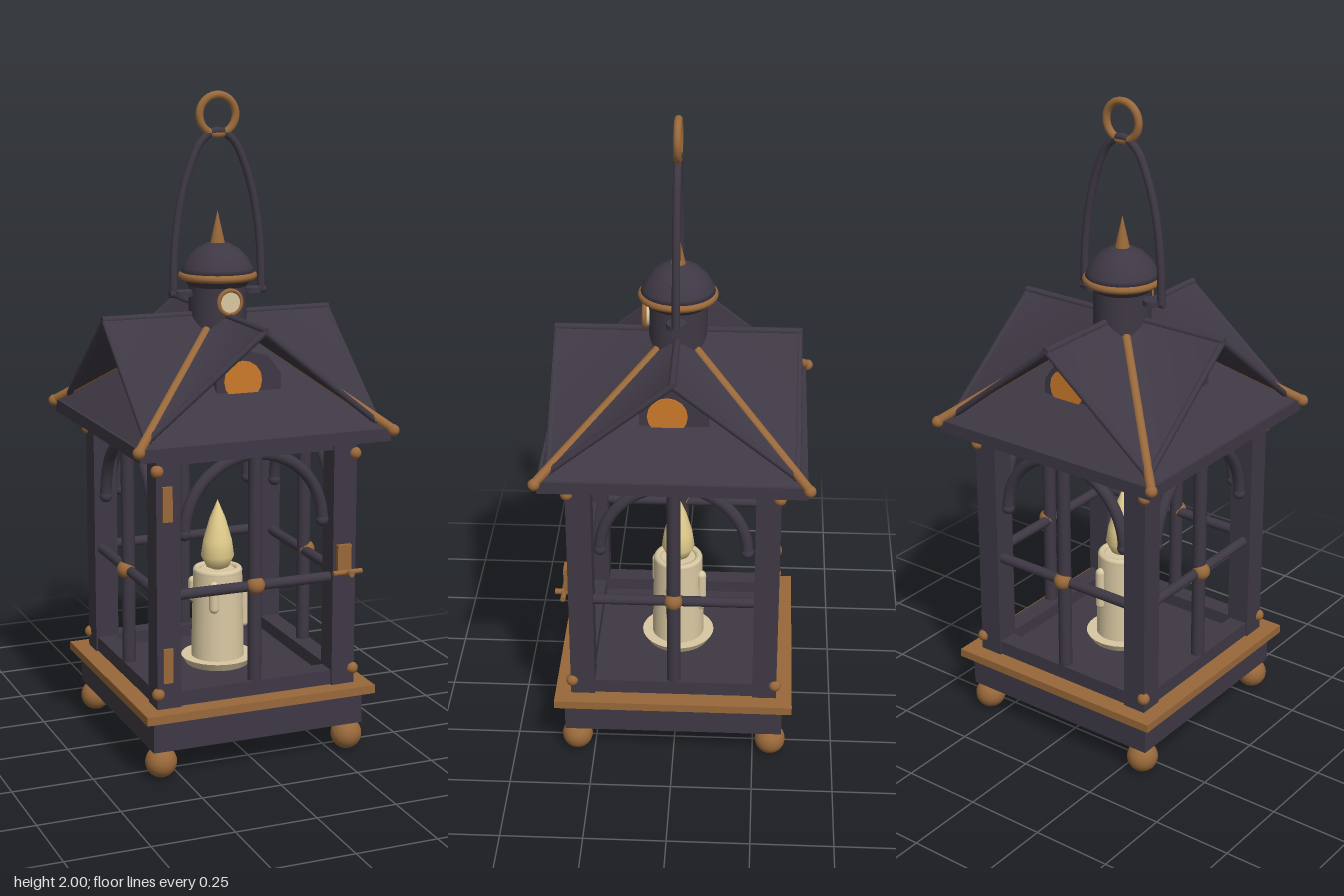
import * as THREE from 'three';

const mat = (name, color) => Object.assign(new THREE.MeshStandardMaterial({ color }), { name });
const V = (x, y, z) => new THREE.Vector3(x, y, z);

export function createModel() {
  const iron = mat('dark iron', 0x3e3844);
  const brass = mat('aged brass', 0x98683a);
  const wax = mat('candle wax', 0xd9c8a2);
  const flameMat = mat('flame', 0xe2cd8c);
  const glow = mat('amber glow', 0xcc7a2a);
  const model = new THREE.Group();

  const add = (name, geo, material, x = 0, y = 0, z = 0, parent = model) => {
    const m = new THREE.Mesh(geo, material);
    m.name = name;
    m.position.set(x, y, z);
    parent.add(m);
    return m;
  };
  const box = (w, h, d) => new THREE.BoxGeometry(w, h, d);
  const ball = r => new THREE.SphereGeometry(r, 20, 14);
  const cyl = (r1, r2, h, n = 32) => new THREE.CylinderGeometry(r1, r2, h, n);
  // round bar between two points
  const bar = (name, a, b, r, material, parent = model) => {
    const m = add(name, cyl(r, r, a.distanceTo(b), 12), material, 0, 0, 0, parent);
    m.position.copy(a).add(b).multiplyScalar(0.5);
    m.quaternion.setFromUnitVectors(V(0, 1, 0), b.clone().sub(a).normalize());
    return m;
  };

  // base and eave
  add('base', box(0.68, 0.1, 0.68), iron, 0, 0.14, 0);
  add('baseTrim', box(0.74, 0.026, 0.74), brass, 0, 0.203, 0);
  add('floor', box(0.62, 0.012, 0.62), iron, 0, 0.217, 0);
  add('eave', box(0.79, 0.038, 0.79), iron, 0, 1.004, 0);

  // hipped inner roof with flat faces
  const hip = new THREE.ConeGeometry(0.39 * Math.SQRT2, 0.32, 4).rotateY(Math.PI / 4).toNonIndexed();
  hip.computeVertexNormals();
  add('innerRoof', hip, iron, 0, 1.18, 0);

  // quarter of the crossed gable roof: upper skin and underside
  const peak = V(0, 1.34, 0), ridgeEnd = V(0, 1.34, 0.37), valleyEnd = V(0.37, 1.044, 0.37);
  const roofSkin = (drop, index) => {
    const g = new THREE.BufferGeometry();
    const pts = [peak, ridgeEnd, valleyEnd, V(0.37, 1.34, 0)].map(p => p.clone().setY(p.y - drop));
    g.setFromPoints(pts);
    g.setIndex(index);
    g.computeVertexNormals();
    return g;
  };
  const topSkin = roofSkin(0, [0, 1, 2, 0, 2, 3]);
  const underSkin = roofSkin(0.014, [0, 2, 1, 0, 3, 2]);

  // everything that repeats on the four sides and corners
  for (let i = 0; i < 4; i++) {
    const side = new THREE.Group();
    side.name = 'side' + (i + 1);
    side.rotation.y = i * Math.PI / 2;
    model.add(side);
    const put = (name, geo, material, x, y, z) => add(name, geo, material, x, y, z, side);

    // corner
    put('foot', ball(0.048), brass, 0.305, 0.048, 0.305);
    put('post', box(0.075, 0.77, 0.075), iron, 0.283, 0.6, 0.283);
    put('lowerStud', ball(0.019), brass, 0.316, 0.262, 0.316);
    put('upperStud', ball(0.019), brass, 0.316, 0.938, 0.316);

    // open window frame
    put('bottomRail', box(0.5, 0.045, 0.06), iron, 0, 0.24, 0.285);
    put('topRail', box(0.5, 0.035, 0.06), iron, 0, 0.97, 0.285);
    bar('mullion', V(0, 0.23, 0.295), V(0, 0.96, 0.295), 0.021, iron, side);
    bar('crossBar', V(-0.25, 0.555, 0.295), V(0.25, 0.555, 0.295), 0.016, iron, side);
    put('crossBoss', ball(0.028), brass, 0, 0.558, 0.303);
    put('arch', new THREE.TorusGeometry(0.222, 0.018, 10, 32, Math.PI), iron, 0, 0.735, 0.29);
    for (const s of [-1, 1]) put('archFoot', ball(0.02), iron, s * 0.222, 0.735, 0.29);

    // roof
    put('roofPanel', topSkin, iron, 0, 0, 0);
    put('roofUnderside', underSkin, iron, 0, 0, 0);
    bar('ridge', V(0, 1.334, 0), V(0, 1.334, 0.37), 0.011, iron, side);
    for (const s of [-1, 1])
      bar('gableEdge', V(0, 1.33, 0.362), V(s * 0.37, 1.034, 0.362), 0.01, iron, side);
    bar('valleyRib', peak, V(0.4, 1.02, 0.4), 0.014, brass, side);
    put('ribEnd', ball(0.018), brass, 0.4, 1.018, 0.4);

    // half-round vent standing out of the inner roof
    put('ventHood', new THREE.CylinderGeometry(0.108, 0.108, 0.03, 10).rotateX(Math.PI / 2), iron, 0, 1.15, 0.232);
    put('ventGlow', new THREE.CylinderGeometry(0.06, 0.06, 0.006, 16).rotateX(Math.PI / 2), glow, -0.02, 1.17, 0.248);
  }

  // hinges and latch on the front
  for (const y of [0.35, 0.84]) add('hinge', box(0.03, 0.105, 0.012), brass, -0.288, y, 0.324);
  add('latchPlate', box(0.045, 0.085, 0.016), brass, 0.278, 0.618, 0.327);
  bar('latchBolt', V(0.24, 0.575, 0.335), V(0.335, 0.575, 0.335), 0.008, brass);
  bar('latchKnob', V(0.29, 0.575, 0.32), V(0.29, 0.575, 0.362), 0.009, brass);

  // candle
  add('candleDish', cyl(0.115, 0.1, 0.025), wax, 0, 0.235, 0);
  add('candle', cyl(0.077, 0.083, 0.28), wax, 0, 0.385, 0);
  add('candleRim', new THREE.TorusGeometry(0.066, 0.012, 8, 32).rotateX(Math.PI / 2), wax, 0, 0.523, 0);
  const drips = [[-0.04, 0.455, 0.07, 0.07], [0.08, 0.4, 0.02, 0.1], [-0.07, 0.46, -0.03, 0.05], [0.03, 0.42, -0.075, 0.11]];
  for (const [x, y, z, h] of drips) add('waxDrip', new THREE.CapsuleGeometry(0.016, h, 6, 12), wax, x, y, z);
  const flame = [[0, 0.52], [0.035, 0.535], [0.052, 0.57], [0.045, 0.62], [0.025, 0.69], [0, 0.75]];
  const spin = pts => new THREE.LatheGeometry(pts.map(([r, y]) => new THREE.Vector2(r, y)), 32);
  add('flame', spin(flame), flameMat);

  // cupola
  add('cupolaNeck', cyl(0.088, 0.088, 0.15), iron, 0, 1.36, 0);
  add('cupolaFlare', cyl(0.108, 0.088, 0.025), iron, 0, 1.432, 0);
  add('domeRim', new THREE.TorusGeometry(0.108, 0.012, 10, 40).rotateX(Math.PI / 2), brass, 0, 1.45, 0);
  add('dome', spin([[0, 1.445], [0.114, 1.452], [0.108, 1.475], [0.09, 1.505], [0.065, 1.53], [0.035, 1.547], [0, 1.552]]), iron);
  add('finial', new THREE.ConeGeometry(0.025, 0.11, 20), brass, 0, 1.592, 0);
  add('cupolaWindow', new THREE.CylinderGeometry(0.034, 0.034, 0.02, 24).rotateX(Math.PI / 2), wax, 0, 1.38, 0.094);
  add('cupolaWindowFrame', new THREE.TorusGeometry(0.036, 0.007, 8, 28), brass, 0, 1.38, 0.1);

  // carrying handle and ring
  for (const s of [-1, 1]) {
    bar('handlePivot', V(s * 0.08, 1.4, 0), V(s * 0.155, 1.4, 0), 0.012, iron);
    add('handleLug', cyl(0.03, 0.03, 0.016, 20), iron, s * 0.112, 1.4, 0);
  }
  const half = [[0.143, 1.4], [0.14, 1.52], [0.122, 1.66], [0.092, 1.77], [0.05, 1.855]];
  const path = [...half.map(([x, y]) => V(-x, y, 0)), V(0, 1.883, 0), ...half.reverse().map(([x, y]) => V(x, y, 0))];
  add('handle', new THREE.TubeGeometry(new THREE.CatmullRomCurve3(path), 64, 0.012, 12), iron);
  add('hangingRing', new THREE.TorusGeometry(0.058, 0.012, 12, 40), brass, 0, 1.93, 0);

  return model;
}
